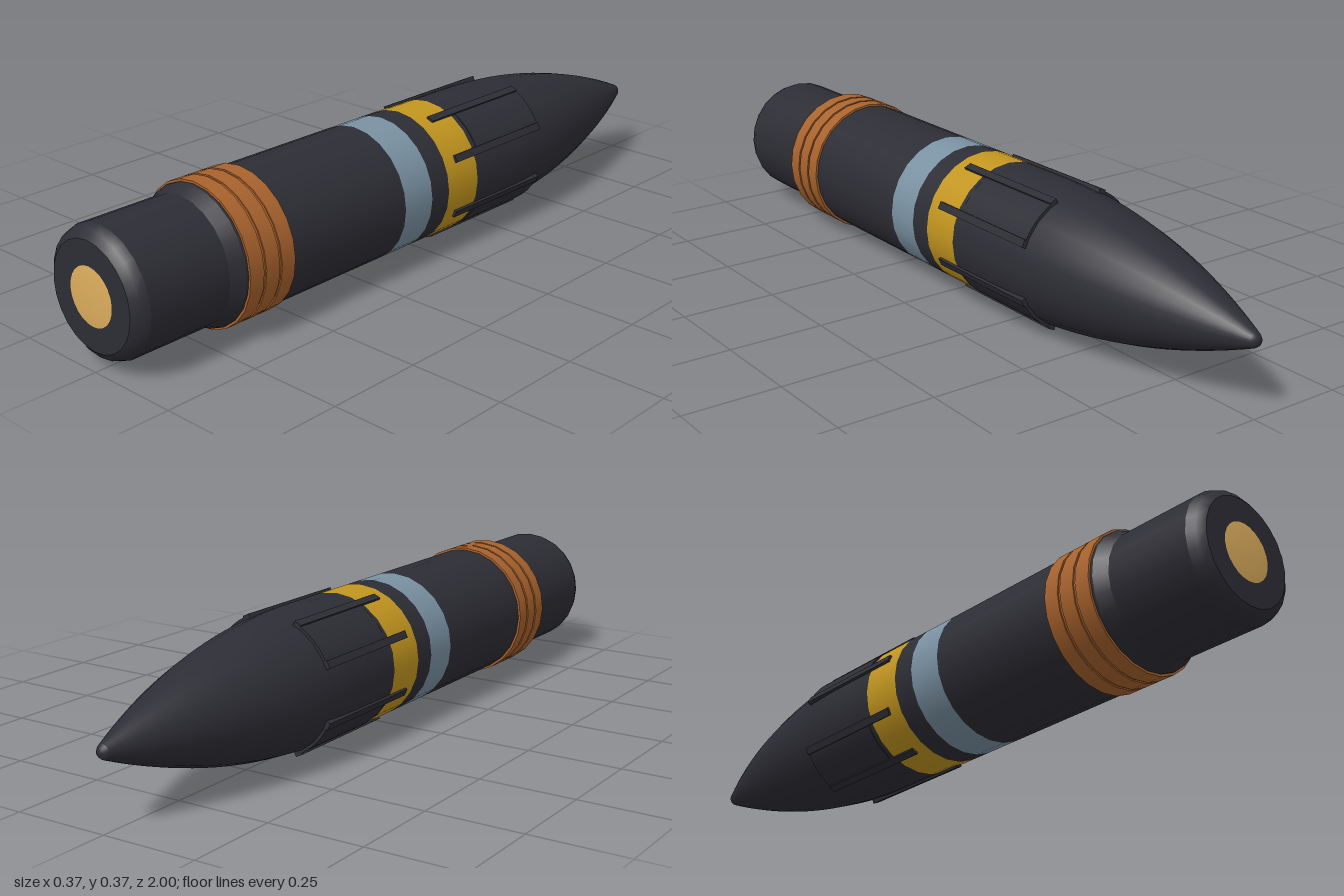
import * as THREE from 'three';

const SIDES = 24;
const R = 0.178;        // main body radius
const AXIS_Y = 0.185;   // height of the long axis

const mat = (name, color) => {
  const m = new THREE.MeshStandardMaterial({ color });
  m.name = name;
  return m;
};

export function createModel() {
  const dark = mat('dark steel', 0x2d2d35);
  const copper = mat('copper', 0xa9632d);
  const yellow = mat('yellow paint', 0xc3961f);
  const blue = mat('blue grey paint', 0x7a92a3);
  const brass = mat('brass', 0xdcad5c);

  const model = new THREE.Group();
  model.name = 'shell';
  const body = new THREE.Group();
  body.name = 'body';
  body.position.y = AXIS_Y;
  model.add(body);

  const add = (name, geometry, material, parent = body) => {
    const mesh = new THREE.Mesh(geometry, material);
    mesh.name = name;
    parent.add(mesh);
    return mesh;
  };
  // Turned part: profile of [radius, z] with z rising for outward faces
  const turn = (name, profile, material) => {
    const points = profile.map(([r, z]) => new THREE.Vector2(r, z));
    return add(name, new THREE.LatheGeometry(points, SIDES).rotateX(Math.PI / 2), material);
  };

  // Nose: tangent ogive with a small blunt tip
  const nose = [];
  for (let i = 0; i <= 20; i++) {
    const t = 1 - i / 20;
    nose.push([R - 0.16 * t * t, -0.25 - 0.74 * t]);
  }
  turn('nose', nose, dark);
  turn('noseTip', [[0, -1], [0.012, -0.998], [0.018, -0.99]], dark);

  // Straight body, divided where the painted bands sit
  turn('forwardBody', [[R, -0.25], [R, -0.115]], dark);
  turn('yellowBand', [[R, -0.115], [R, 0]], yellow);
  turn('middleBody', [[R, 0], [R, 0.065]], dark);
  turn('blueBand', [[R, 0.065], [R, 0.165]], blue);
  turn('rearBody', [[R, 0.165], [R, 0.7]], dark);

  // Stepped tail with a chamfered base
  turn('tailShoulder', [[R, 0.7], [0.162, 0.735]], dark);
  turn('tail', [[0.162, 0.735], [0.162, 0.96]], dark);
  turn('tailChamfer', [[0.162, 0.96], [0.154, 0.982], [0.135, 0.996]], dark);
  turn('base', [[0.135, 0.996], [0, 0.996]], dark);
  turn('primer', [[0.073, 0.996], [0.06, 0.9975], [0.035, 0.9993], [0, 1]], brass);

  // Driving band: three ribs over a recessed sleeve
  turn('bandSleeve', [[R, 0.555], [0.1805, 0.556], [0.1805, 0.692], [R, 0.693]], copper);
  for (let i = 0; i < 3; i++) {
    const a = 0.553 + i * 0.049, b = a + 0.042;
    turn('bandRibRear', [[0.184, b], [R, b]], copper);
    turn('bandRib', [[0.184, a], [0.184, b]], copper);
    turn('bandRibFront', [[R, a], [0.184, a]], copper);
  }

  // Four curved panels, each edged by two long rails
  const half = THREE.MathUtils.degToRad(22);
  const sector = new THREE.Shape();
  sector.absarc(0, 0, 0.179, -half, half, false);
  sector.absarc(0, 0, 0.155, half, -half, true);
  const panelGeo = new THREE.ExtrudeGeometry(sector, { depth: 0.26, bevelEnabled: false, curveSegments: 8 });
  panelGeo.translate(0, 0, -0.39);
  const railGeo = new THREE.BoxGeometry(0.024, 0.02, 0.35).translate(0.171, 0, -0.215);
  for (let i = 0; i < 4; i++) {
    const fin = new THREE.Group();
    fin.name = 'sidePanel';
    fin.rotation.z = Math.PI / 4 + i * Math.PI / 2;
    body.add(fin);
    add('panel', panelGeo, dark, fin);
    for (const s of [-1, 1]) {
      add('rail', railGeo, dark, fin).rotation.z = s * THREE.MathUtils.degToRad(20);
    }
  }
  return model;
}
